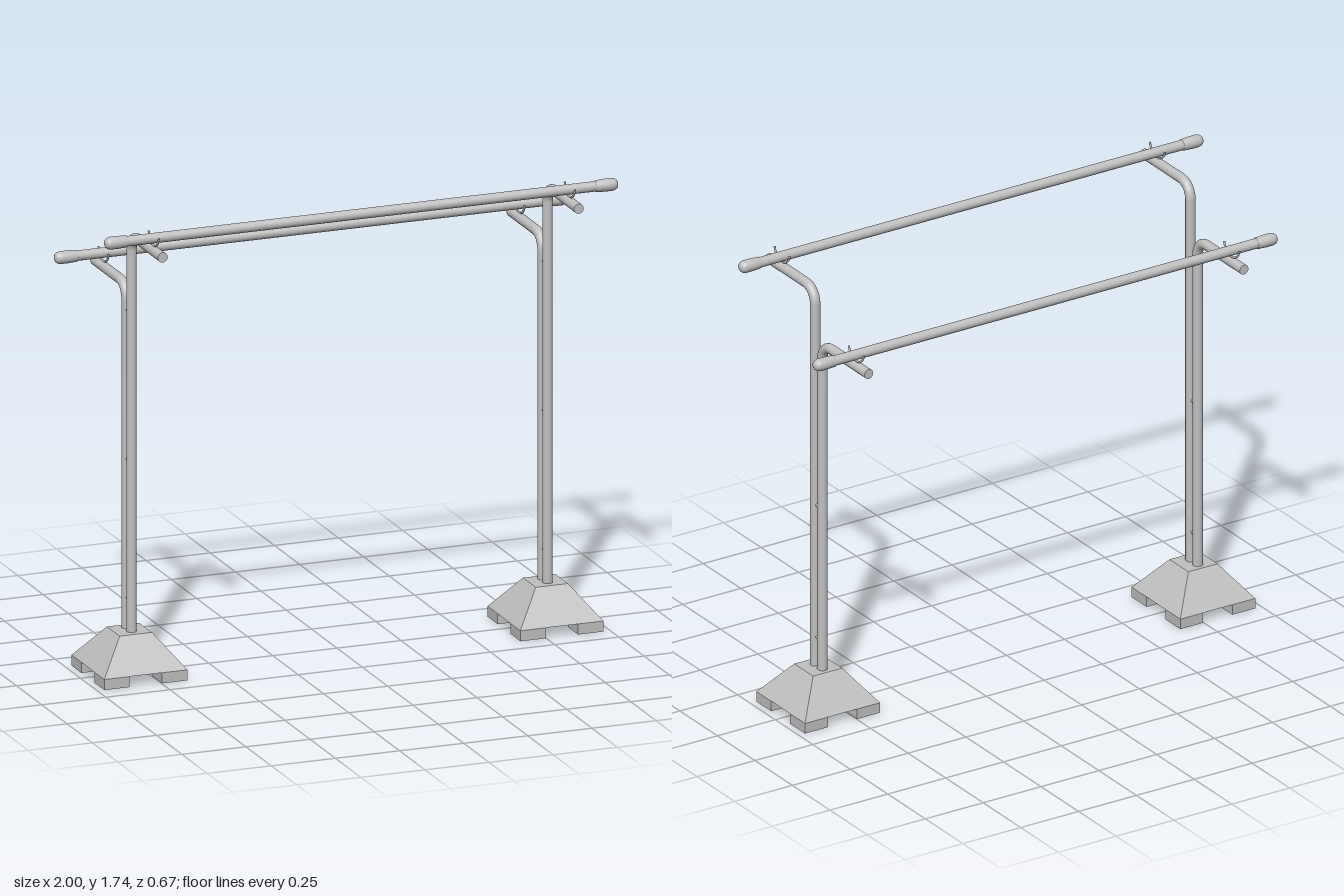
import * as THREE from 'three';

const steel = new THREE.MeshStandardMaterial({ color: 0xc0c0c0 });
steel.name = 'grey steel';

const POST_X = 0.811;
const PIPE_R = 0.019;

function add(parent, name, geometry, x = 0, y = 0, z = 0) {
  const mesh = new THREE.Mesh(geometry, steel);
  mesh.name = name;
  mesh.position.set(x, y, z);
  parent.add(mesh);
  return mesh;
}

// Upright pipe that bends outward into a horizontal arm; side is +1 (front) or -1 (back)
function bentPipe(parent, name, side, postZ, armY, armEnd) {
  const v = (y, z) => new THREE.Vector3(0, y, z * side);
  const bend = 0.06;
  const path = new THREE.CurvePath();
  path.add(new THREE.LineCurve3(v(0.005, postZ), v(armY - bend, postZ)));
  const k = bend * 0.448; // handle length for a quarter circle
  path.add(new THREE.CubicBezierCurve3(
    v(armY - bend, postZ), v(armY - k, postZ), v(armY, postZ + k), v(armY, postZ + bend)));
  path.add(new THREE.LineCurve3(v(armY, postZ + bend), v(armY, armEnd)));
  add(parent, name, new THREE.TubeGeometry(path, 160, PIPE_R, 20));

  // Flat discs closing both pipe ends
  const foot = add(parent, name + 'BottomCap', new THREE.CircleGeometry(PIPE_R, 20), 0, 0.005, postZ * side);
  foot.rotation.x = Math.PI / 2;
  const tip = add(parent, name + 'ArmCap', new THREE.CircleGeometry(PIPE_R, 20), 0, armY, armEnd * side);
  if (side < 0) tip.rotation.y = Math.PI;
}

// Thin half-ring cradle that holds a rail on the arm
function cradle(parent, armY, z) {
  const geo = new THREE.TorusGeometry(0.051, 0.004, 8, 24, Math.PI * 0.9);
  geo.rotateZ(Math.PI * 1.05);
  geo.rotateY(Math.PI / 2);
  add(parent, 'railCradle', geo, 0, armY + PIPE_R + 0.052, z);
}

// Weighted foot: a truncated pyramid on four corner blocks
function base(parent) {
  const group = new THREE.Group();
  group.name = 'base';
  group.position.z = 0.005;
  const half = 0.162, top = 0.063, foot = 0.099;
  const block = new THREE.BoxGeometry(half * 2, 0.125, half * 2);
  const p = block.attributes.position;
  for (let i = 0; i < p.count; i++) {
    if (p.getY(i) > 0) p.setXYZ(i, Math.sign(p.getX(i)) * top, p.getY(i), Math.sign(p.getZ(i)) * top);
  }
  block.computeVertexNormals();
  add(group, 'baseBlock', block, 0, 0.1025);
  const offset = half - foot / 2;
  for (const sx of [-1, 1]) for (const sz of [-1, 1]) {
    add(group, 'baseFoot', new THREE.BoxGeometry(foot, 0.04, foot), sx * offset, 0.02, sz * offset);
  }
  parent.add(group);
}

// Horizontal rail with a rounded cap on each end
function rail(name, y, z) {
  const group = new THREE.Group();
  group.name = name;
  group.position.set(0, y, z);
  const rod = new THREE.CylinderGeometry(PIPE_R, PIPE_R, 1.9, 24);
  rod.rotateZ(Math.PI / 2);
  add(group, 'railRod', rod);
  const profile = [
    [0.018, 0.912], [0.0215, 0.914], [0.0235, 0.95], [0.0235, 0.978],
    [0.021, 0.988], [0.016, 0.995], [0.009, 0.999], [0, 1],
  ].map(([r, h]) => new THREE.Vector2(r, h));
  for (const s of [-1, 1]) {
    const cap = new THREE.LatheGeometry(profile, 24);
    cap.rotateZ(-s * Math.PI / 2);
    add(group, 'railEndCap', cap);
  }
  return group;
}

export function createModel() {
  const model = new THREE.Group();
  model.name = 'dryingRack';

  for (const s of [-1, 1]) {
    const stand = new THREE.Group();
    stand.name = s > 0 ? 'leftStand' : 'rightStand';
    stand.position.x = s * POST_X;
    base(stand);
    bentPipe(stand, 'tallPipe', 1, 0.025, 1.672, 0.334);
    bentPipe(stand, 'shortPipe', -1, 0.023, 1.47, 0.332);
    cradle(stand, 1.672, 0.245);
    cradle(stand, 1.47, -0.25);
    // Spacers joining the two pipes
    for (const y of [0.283, 0.81, 1.375]) {
      const spacer = new THREE.CylinderGeometry(0.009, 0.009, 0.03, 12);
      spacer.rotateX(Math.PI / 2);
      add(stand, 'pipeSpacer', spacer, 0, y, 0.001);
    }
    model.add(stand);
  }

  model.add(rail('upperRail', 1.718, 0.238));
  model.add(rail('lowerRail', 1.52, -0.257));
  return model;
}
